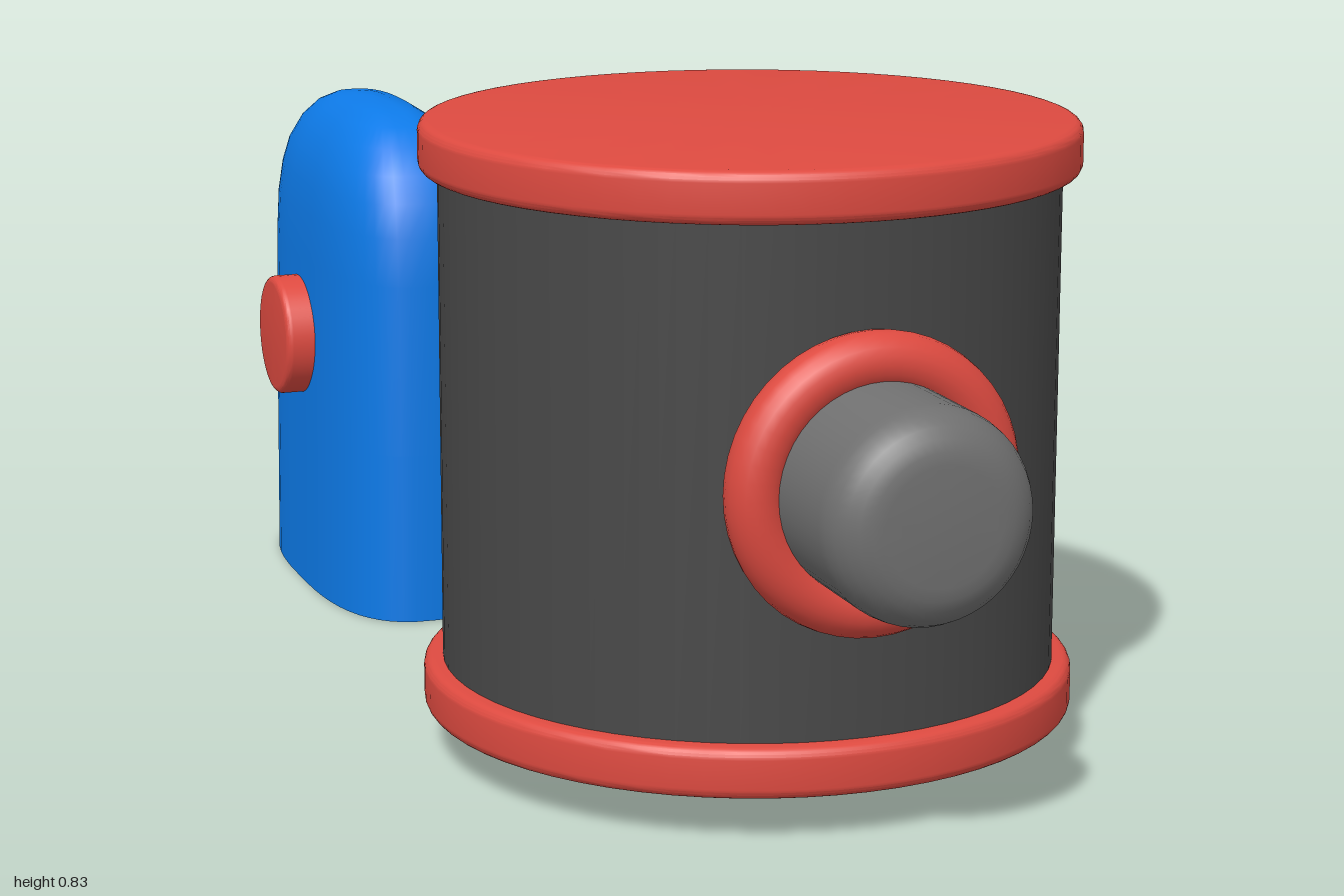
import * as THREE from 'three';
import { toCreasedNormals, mergeVertices } from 'three/addons/utils/BufferGeometryUtils.js';

const mat = (color) => new THREE.MeshStandardMaterial({ color });
const red = mat(0xdd4a40), blue = mat(0x0d7ae8), dark = mat(0x484848), steel = mat(0x707070);
blue.side = THREE.DoubleSide;

// Solid disc or rod along y with rounded rims
function roundedCylinder(radius, height, bevel, segments = 48) {
  const pts = [new THREE.Vector2(0, -height / 2)];
  for (const [sign, start] of [[-1, -Math.PI / 2], [1, 0]]) {
    for (let i = 0; i <= 6; i++) {
      const a = start + (i / 6) * Math.PI / 2;
      pts.push(new THREE.Vector2(
        radius - bevel + bevel * Math.cos(a),
        sign * (height / 2 - bevel) + bevel * Math.sin(a)));
    }
  }
  pts.push(new THREE.Vector2(0, height / 2));
  return toCreasedNormals(new THREE.LatheGeometry(pts, segments), 0.35);
}

// Upright bracket: rounded oblong sections closing to a dome, open underneath
function bracketGeometry() {
  // [height, half thickness, half length]
  const sections = [
    [0, 0.129, 0.295], [0.25, 0.126, 0.292], [0.5, 0.122, 0.288], [0.57, 0.119, 0.28],
    [0.617, 0.113, 0.266], [0.655, 0.104, 0.245], [0.69, 0.087, 0.212],
    [0.715, 0.066, 0.172], [0.73, 0.043, 0.125], [0.736, 0.02, 0.065], [0.738, 0.0005, 0.0005],
  ];
  const n = 48, pos = [], index = [];
  const power = (v) => Math.sign(v) * Math.abs(v) ** (2 / 2.8);
  sections.forEach(([y, hx, hz], r) => {
    for (let i = 0; i < n; i++) {
      const a = (i / n) * Math.PI * 2;
      pos.push(hx * power(Math.cos(a)), y, hz * power(Math.sin(a)));
      if (r === 0) continue;
      const j = (i + 1) % n, lo = (r - 1) * n, hi = r * n;
      index.push(lo + i, hi + i, lo + j, lo + j, hi + i, hi + j);
    }
  });
  const g = new THREE.BufferGeometry();
  g.setAttribute('position', new THREE.Float32BufferAttribute(pos, 3));
  g.setIndex(index);
  const merged = mergeVertices(g, 1e-5);
  merged.computeVertexNormals();
  return merged;
}

export function createModel() {
  const model = new THREE.Group();
  const add = (name, geometry, material, x, y, z) => {
    const mesh = new THREE.Mesh(geometry, material);
    mesh.name = name;
    mesh.position.set(x, y, z);
    model.add(mesh);
    return mesh;
  };
  const drumZ = 0.372, shaftY = 0.447, bracketZ = -0.58;

  // Drum with two end caps
  add('drum', new THREE.CylinderGeometry(0.402, 0.402, 0.7, 64), dark, 0, 0.446, drumZ);
  const cap = roundedCylinder(0.427, 0.066, 0.014, 64);
  add('bottomCap', cap, red, 0, 0.09, drumZ);
  add('topCap', cap, red, 0, 0.802, drumZ);

  // Long shaft running through the drum
  add('shaft', roundedCylinder(0.134, 2, 0.06), steel, 0, shaftY, 0).rotation.x = Math.PI / 2;

  // Collars where the shaft leaves the drum
  const collar = new THREE.TorusGeometry(0.154, 0.037, 20, 48);
  add('frontCollar', collar, red, 0, shaftY, 0.787);
  add('backCollar', collar, red, 0, shaftY, -0.017);

  // Pair of brackets straddling the shaft
  const bracket = bracketGeometry();
  add('leftBracket', bracket, blue, 0.234, 0, bracketZ);
  add('rightBracket', bracket, blue, -0.234, 0, bracketZ);

  // Pin through both brackets
  add('crossPin', roundedCylinder(0.089, 0.796, 0.01, 40), red, 0, 0.382, bracketZ).rotation.z = Math.PI / 2;

  return model;
}
